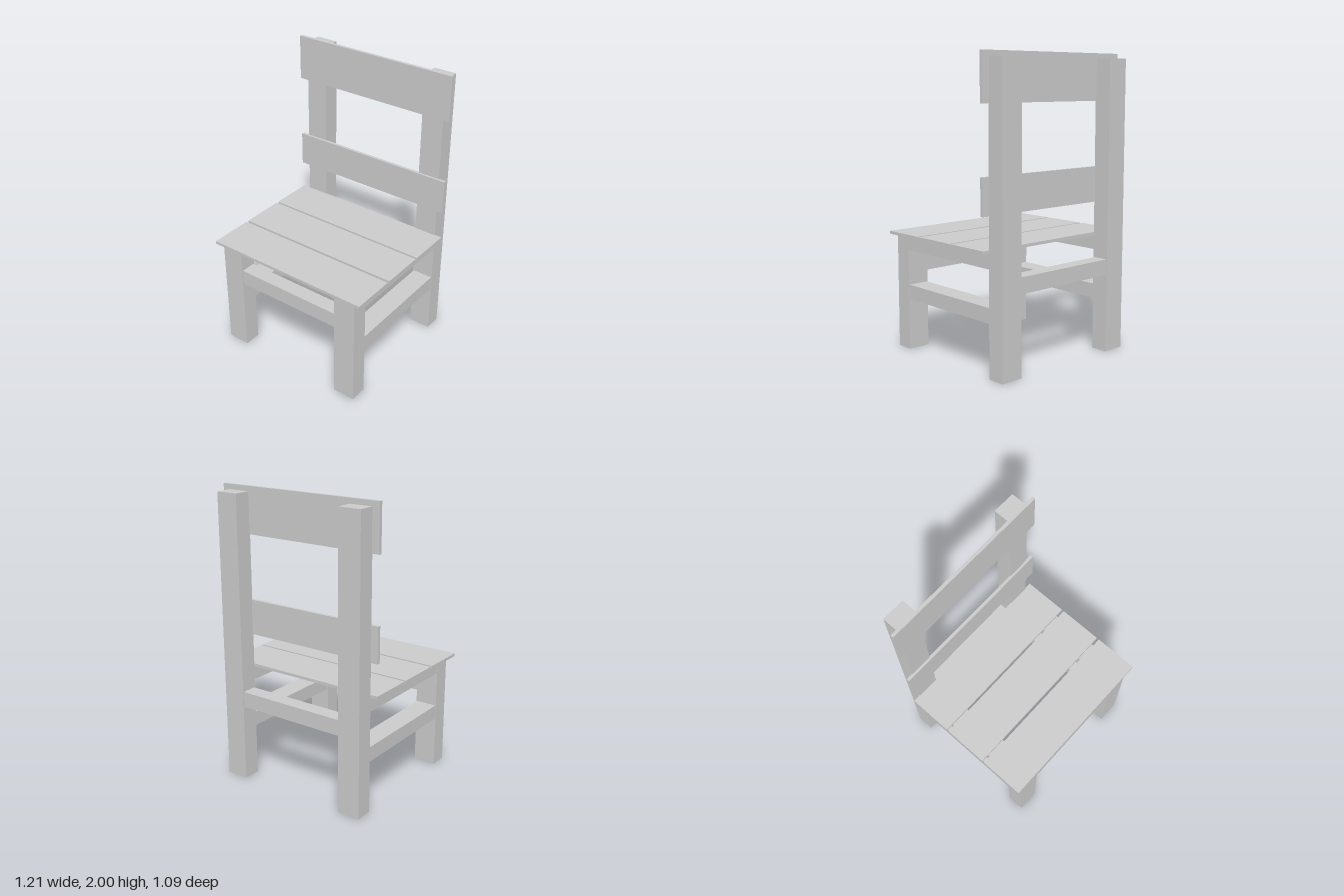
import * as THREE from 'three';

const material = new THREE.MeshStandardMaterial({ color: 0xcccccc, side: THREE.DoubleSide });

// Box given by its [min, max] extent along each axis
function board(name, [x0, x1], [y0, y1], [z0, z1], openBottom = false) {
  const geometry = new THREE.BoxGeometry(x1 - x0, y1 - y0, z1 - z0);
  geometry.translate((x0 + x1) / 2, (y0 + y1) / 2, (z0 + z1) / 2);
  if (openBottom) {
    // drop the two triangles of the underside
    geometry.setIndex([...geometry.index.array].filter((_, i) => i < 18 || i >= 24));
    geometry.clearGroups();
  }
  const mesh = new THREE.Mesh(geometry, material);
  mesh.name = name;
  return mesh;
}

export function createModel() {
  const chair = new THREE.Group();
  chair.name = 'chair';

  // Legs and side rails, mirrored left and right
  for (const [side, s] of [['left', 1], ['right', -1]]) {
    const span = (a, b) => (s > 0 ? [a, b] : [-b, -a]);
    const legX = span(0.393, 0.55);
    const railX = span(0.4, 0.545);
    chair.add(
      board(`${side}FrontLeg`, legX, [0, 0.79], [0.4, 0.52], true),
      board(`${side}BackPost`, legX, [0, 1.965], [-0.545, -0.425], true),
      board(`${side}SeatRail`, railX, [0.69, 0.79], [-0.425, 0.4]),
      board(`${side}LowerRail`, railX, [0.35, 0.45], [-0.425, 0.4]),
    );
  }

  // Cross rails between the legs
  chair.add(
    board('frontCrossRail', [-0.393, 0.393], [0.53, 0.637], [0.408, 0.512]),
    board('backCrossRail', [-0.393, 0.393], [0.53, 0.637], [-0.538, -0.435]),
  );

  // Seat boards with narrow gaps
  for (const z of [[-0.43, -0.118], [-0.102, 0.21], [0.228, 0.54]]) {
    chair.add(board('seatBoard', [-0.605, 0.6], [0.79, 0.81], z));
  }

  // Backrest boards on the front of the posts
  chair.add(
    board('topBackBoard', [-0.602, 0.602], [1.69, 2], [-0.43, -0.408]),
    board('lowerBackBoard', [-0.602, 0.602], [1.017, 1.255], [-0.43, -0.408]),
  );

  return chair;
}
